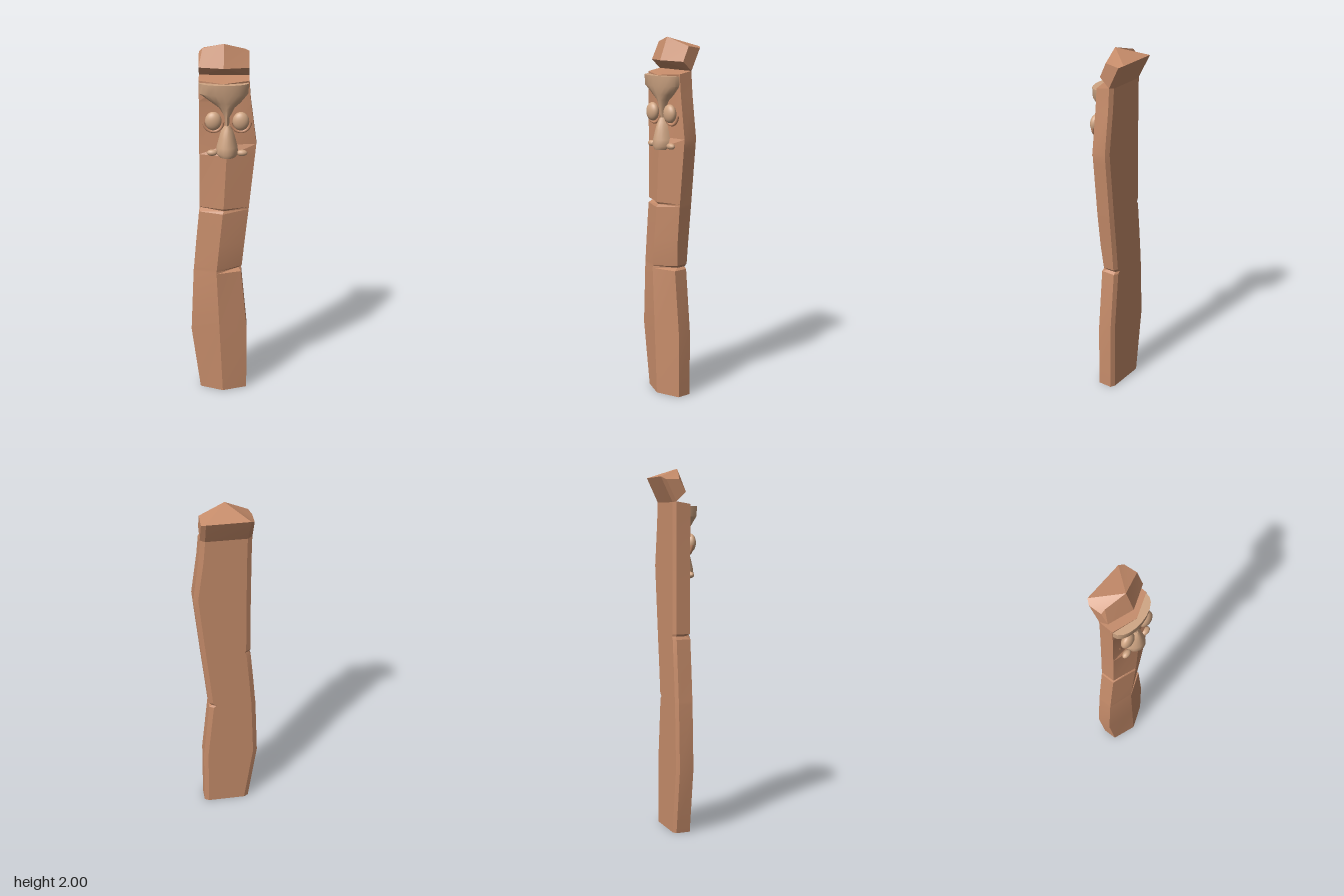
import * as THREE from 'three';
import { toCreasedNormals } from 'three/addons/utils/BufferGeometryUtils.js';

// Closed solid through loops of [x, y, z]; each loop runs front, +x, back, -x
function loft(loops, crease) {
  const n = loops[0].length, last = (loops.length - 1) * n, index = [];
  for (let l = 0; l < loops.length - 1; l++) {
    for (let i = 0; i < n; i++) {
      const a = l * n + i, b = l * n + (i + 1) % n;
      index.push(a, b, b + n, a, b + n, a + n);
    }
  }
  for (let i = 1; i < n - 1; i++) {
    index.push(0, i + 1, i, last, last + i, last + i + 1);
  }
  const g = new THREE.BufferGeometry();
  g.setAttribute('position', new THREE.Float32BufferAttribute(loops.flat(2), 3));
  g.setIndex(index);
  return toCreasedNormals(g, crease);
}

// Bulging half-oval section: centre x, half width, front z, back z
function bulge(y, cx, w, front, back, power = 1) {
  const pts = [], steps = 10;
  for (let i = 0; i <= steps; i++) {
    const a = Math.PI * (i / steps - 0.5);
    pts.push([cx + w * Math.sin(a), y, back + (front - back) * Math.pow(Math.max(0, Math.cos(a)), power)]);
  }
  return pts;
}

export function createModel() {
  const group = new THREE.Group();
  const wood = new THREE.MeshStandardMaterial({ color: 0xc68c6a });
  wood.name = 'wood';
  const paleWood = new THREE.MeshStandardMaterial({ color: 0xcfa583 });
  paleWood.name = 'carved pale wood';
  const add = (name, geometry, material, x = 0, y = 0, z = 0) => {
    const mesh = new THREE.Mesh(geometry, material);
    mesh.name = name;
    mesh.position.set(x, y, z);
    group.add(mesh);
    return mesh;
  };

  // Crooked post: y, left edge, ridge x, right edge, ridge z, left front z, right front z
  const levels = [
    [0, -0.13, 0, 0.135, 0.09, 0.04, 0.04],
    [0.37, -0.18, -0.018, 0.135, 0.09, 0.04, 0.04],
    [0.73, -0.165, -0.035, 0.1, 0.09, 0.04, 0.04],
    [0.742, -0.164, -0.035, 0.085, 0.088, 0.04, 0.01],
    [0.76, -0.162, -0.033, 0.104, 0.09, 0.04, 0.025],
    [0.9, -0.15, -0.019, 0.118, 0.09, 0.04, 0.036],
    [1.083, -0.132, 0, 0.138, 0.09, 0.04, 0.04],
    [1.1, -0.122, 0.004, 0.14, 0.082, 0.015, 0.04],
    [1.112, -0.13, 0.004, 0.141, 0.09, 0.04, 0.04],
    [1.41, -0.128, 0.02, 0.172, 0.09, 0.04, 0.04],
    [1.47, -0.128, 0.02, 0.178, 0.065, 0.04, 0.04],
    [1.7, -0.128, 0.015, 0.147, 0.055, 0.04, 0.04],
    [1.81, -0.13, 0.004, 0.137, 0.085, 0.04, 0.04],
  ];
  const postLoops = levels.map(([y, l, m, r, zm, zl, zr], i) => {
    const pts = [
      [m, y, zm], [r, y, zr], [r, y, -0.04], [r - 0.025, y, -0.053],
      [l + 0.025, y, -0.053], [l, y, -0.04], [l, y, zl],
    ];
    // The top end slopes up towards the back
    if (i === levels.length - 1) for (const p of pts) p[1] = 1.825 - Math.max(0, p[2] + 0.03) * 0.2;
    return pts;
  });
  add('post', loft(postLoops, 0.3), wood);

  // Top block tipped back above the wedge cut
  const blockBottom = [
    [0.004, 1.878, 0.065], [0.138, 1.875, 0.017], [0.138, 1.825, -0.04], [0.113, 1.82, -0.053],
    [-0.106, 1.82, -0.053], [-0.13, 1.825, -0.04], [-0.13, 1.874, 0.014], [-0.11, 1.875, 0.022],
  ];
  const blockTop = [
    [0.004, 2, 0.017], [0.138, 1.955, -0.02], [0.138, 1.942, -0.098], [0.115, 1.95, -0.115],
    [-0.11, 1.955, -0.122], [-0.13, 1.94, -0.098], [-0.13, 1.942, -0.025], [-0.11, 1.97, -0.018],
  ];
  add('topBlock', loft([blockBottom, blockTop], 0.2), wood);

  // Heavy brow funnelling down into the bridge of the nose
  add('brow', loft([
    bulge(1.56, 0.022, 0.012, 0.075, 0.03),
    bulge(1.62, 0.022, 0.016, 0.083, 0.03),
    bulge(1.67, 0.02, 0.045, 0.092, 0.03),
    bulge(1.7, 0.016, 0.082, 0.1, 0.03, 0.8),
    bulge(1.745, 0.004, 0.132, 0.112, 0.03, 0.8),
    bulge(1.8, 0.004, 0.134, 0.116, 0.03, 0.8),
  ], 0.7), paleWood);

  // Long nose, widest at the tip
  add('nose', loft([
    bulge(1.405, 0.024, 0.048, 0.112, 0.04),
    bulge(1.425, 0.023, 0.064, 0.12, 0.04),
    bulge(1.46, 0.022, 0.058, 0.116, 0.04),
    bulge(1.51, 0.022, 0.045, 0.105, 0.04),
    bulge(1.55, 0.022, 0.033, 0.094, 0.04),
    bulge(1.575, 0.022, 0.016, 0.08, 0.04),
  ], 0.8), paleWood);

  // Eyes, lower lids and nostril wings on both sides of the face
  for (const [side, s] of [['left', 1], ['right', -1]]) {
    const eyeX = 0.022 + s * 0.073;
    add(side + 'Eye', new THREE.SphereGeometry(1, 24, 16), paleWood, eyeX, 1.602, 0.073)
      .scale.set(0.044, 0.05, 0.028);
    const lid = add(side + 'LowerLid', new THREE.TorusGeometry(0.05, 0.008, 8, 20, Math.PI), wood, eyeX, 1.592, 0.062);
    lid.rotation.z = Math.PI;
    add(side + 'NostrilWing', new THREE.SphereGeometry(1, 14, 10), paleWood, 0.022 + s * 0.08, 1.428, 0.072)
      .scale.set(0.029, 0.017, 0.018);
  }
  return group;
}
